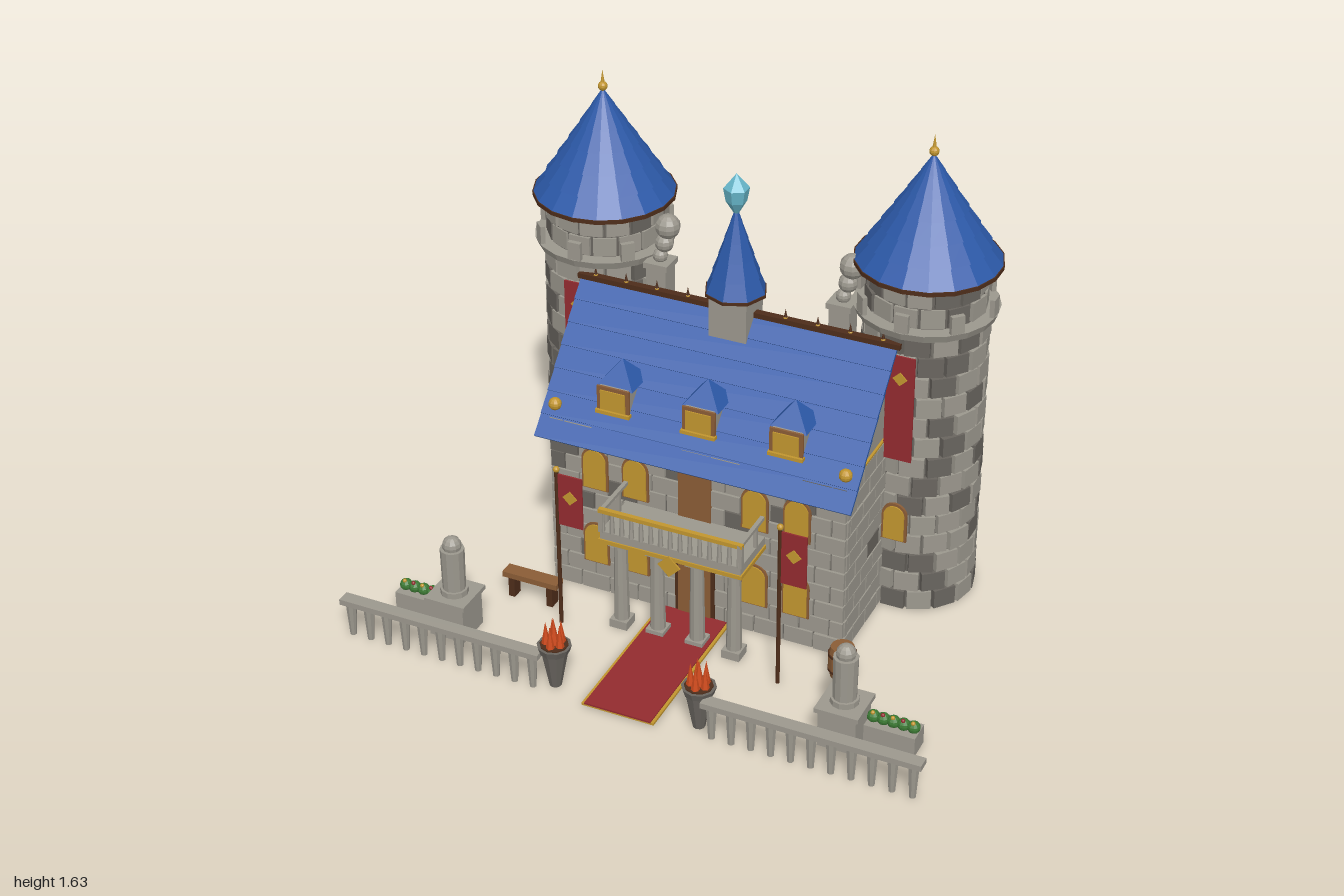
import * as THREE from 'three';
import { mergeGeometries } from 'three/addons/utils/BufferGeometryUtils.js';

const mat = (name, color) => new THREE.MeshStandardMaterial({ name, color, flatShading: true });

export function createModel() {
  const stone = mat('lightStone', 0x9c988e), dark = mat('darkStone', 0x69655f), blue = mat('roofBlue', 0x2c59a8),
    trim = mat('darkTrim', 0x4e2d1a), wood = mat('wood', 0x8a5c36), gold = mat('gold', 0xc2962f),
    red = mat('redCloth', 0x932b2f), ice = mat('crystal', 0x68b8cc), fire = mat('flame', 0xcf4a1c), green = mat('leaf', 0x3c7a34);
  const root = new THREE.Group();
  let seed = 7;
  const rnd = () => (seed = (seed * 16807) % 2147483647) / 2147483647;

  const group = (name, x = 0, y = 0, z = 0, parent = root) => {
    const g = new THREE.Group();
    g.name = name; g.position.set(x, y, z); parent.add(g);
    return g;
  };
  const put = (name, geo, m, x, y, z, parent = root) => {
    const o = new THREE.Mesh(geo, m);
    o.name = name; o.position.set(x, y, z); parent.add(o);
    return o;
  };
  // boxes and cylinders are placed by the centre of their base
  const box = (name, m, w, h, d, x, y, z, p) => put(name, new THREE.BoxGeometry(w, h, d), m, x, y + h / 2, z, p);
  const cyl = (name, m, rt, rb, h, x, y, z, p, n = 12) => put(name, new THREE.CylinderGeometry(rt, rb, h, n), m, x, y + h / 2, z, p);
  const ball = (name, m, r, x, y, z, p) => put(name, new THREE.SphereGeometry(r, 10, 8), m, x, y, z, p);
  const diamond = (m, s, x, y, z, p) => { box('diamond', m, s, s, 0.006, x, y - s / 2, z, p).rotation.z = Math.PI / 4; };
  const arch = (name, m, w, h, x, y, z, p) => {
    const s = new THREE.Shape(), r = w / 2;
    s.moveTo(-r, 0); s.lineTo(r, 0); s.lineTo(r, h - r); s.absarc(0, h - r, r, 0, Math.PI); s.closePath();
    return put(name, new THREE.ExtrudeGeometry(s, { depth: 0.009, bevelEnabled: false, curveSegments: 8 }), m, x, y, z, p);
  };
  // shingled cone of overlapping tiers
  const tieredCone = (name, r, h, tiers, sides, x, y, z, p) => {
    const g = group(name, x, y, z, p);
    for (let i = 0; i < tiers; i++) {
      const top = i === tiers - 1 ? 0 : r * (1 - (i + 1) / tiers) * 0.95;
      cyl('roofTier', blue, top, r * (1 - i / tiers), h / tiers, 0, i * h / tiers, 0, g, sides);
    }
  };
  // bricks gather by shade, then become two meshes
  const brickSet = () => {
    const light = [], shade = [];
    return {
      add(w, h, d, x, y, z, turn = 0, darkShare = 0.2) {
        const g = new THREE.BoxGeometry(w, h, d).rotateY(turn).translate(x, y, z);
        (rnd() < darkShare ? shade : light).push(g);
      },
      finish(p) {
        put('lightBricks', mergeGeometries(light), stone, 0, 0, 0, p);
        put('darkBricks', mergeGeometries(shade), dark, 0, 0, 0, p);
      }
    };
  };

  // hall walls
  const hall = group('hall', 0, 0, -0.22);
  box('wallCore', dark, 1.02, 0.64, 0.6, 0, 0, 0, hall);
  const walls = brickSet();
  for (let row = 0; row < 10; row++) {
    const y = 0.032 + row * 0.064, off = row % 2 ? 0.05 : 0;
    const course = (half, fn) => {
      for (let a = -half - off; a < half - 0.001; a += 0.104) {
        const lo = Math.max(a, -half), hi = Math.min(a + 0.104, half);
        if (hi - lo > 0.02) fn((lo + hi) / 2, hi - lo - 0.006);
      }
    };
    course(0.52, (c, w) => [-1, 1].forEach(s => walls.add(w, 0.058, 0.02, c, y, s * (0.298 + rnd() * 0.004), 0, 0.12)));
    course(0.3, (c, w) => [-1, 1].forEach(s => walls.add(0.02, 0.058, w, s * (0.508 + rnd() * 0.004), y, c, 0, 0.12)));
  }
  walls.finish(hall);
  const gable = new THREE.Shape([[-0.31, 0.635], [0.31, 0.635], [0, 0.985]].map(p => new THREE.Vector2(...p)));
  put('gable', new THREE.ExtrudeGeometry(gable, { depth: 1.02, bevelEnabled: false }).rotateY(Math.PI / 2), stone, -0.51, 0, 0, hall);
  [-1, 1].forEach(s => box('gableTrim', gold, 0.008, 0.008, 0.6, s * 0.515, 0.636, 0, hall));

  // main roof in overlapping rows, both slopes
  const roof = group('mainRoof', 0, 0.995, -0.225);
  const tilt = Math.atan2(0.41, 0.355), slope = Math.hypot(0.41, 0.355), rows = 7;
  [0, Math.PI].forEach(turn => {
    const side = group('roofSlope', 0, 0, 0, roof);
    side.rotation.y = turn;
    for (let i = 0; i < rows; i++) {
      const d = (i + 0.5) / rows;
      put('shingleRow', new THREE.BoxGeometry(1.1, 0.01, slope / rows + 0.012), blue, 0, -0.41 * d, 0.355 * d, side).rotation.x = tilt - 0.06;
    }
  });
  box('ridgeBeam', trim, 1.12, 0.018, 0.025, 0, -0.008, 0, roof);
  [-1, 1].forEach(s => {
    [0.17, 0.28, 0.39, 0.5].forEach(x => {
      cyl('ridgeSpike', trim, 0, 0.007, 0.035, s * x, 0.008, 0, roof, 6);
      ball('ridgeBead', gold, 0.007, s * x, 0.01, 0, roof);
    });
    ball('roofOrnament', gold, 0.022, s * 0.505, 0.68, 0.072);
  });

  // dormers
  [-0.3, 0, 0.3].forEach(x => {
    const g = group('dormer', x, 0.68, 0);
    box('dormerWalls', stone, 0.1, 0.1, 0.13, 0, 0, -0.007, g);
    box('windowFrame', wood, 0.114, 0.094, 0.008, 0, 0.008, 0.06, g);
    box('windowPane', gold, 0.088, 0.07, 0.008, 0, 0.02, 0.064, g);
    box('windowSill', gold, 0.12, 0.012, 0.02, 0, 0.006, 0.064, g);
    const cap = cyl('dormerRoof', blue, 0, 0.09, 0.08, 0, 0.095, -0.012, g, 4);
    cap.geometry.rotateY(Math.PI / 4);
  });

  // central spire with crystal
  const spire = group('spire', 0, 0, -0.22);
  box('spireBase', stone, 0.13, 0.2, 0.13, 0, 0.88, 0, spire);
  cyl('spireRim', trim, 0.104, 0.104, 0.01, 0, 1.064, 0, spire, 8);
  tieredCone('spireRoof', 0.102, 0.3, 5, 8, 0, 1.07, 0, spire);
  cyl('crystalTip', ice, 0, 0.042, 0.05, 0, 1.43, 0, spire, 6);
  cyl('crystalBody', ice, 0.042, 0.034, 0.045, 0, 1.385, 0, spire, 6);
  cyl('crystalRoot', ice, 0.034, 0, 0.055, 0, 1.33, 0, spire, 6);

  // round towers
  [-1, 1].forEach(s => {
    const t = group('tower', s * 0.565, 0, -0.43);
    cyl('towerCore', dark, 0.188, 0.188, 1.2, 0, 0, 0, t, 20);
    const bricks = brickSet();
    const ring = (y, h, r, n, turn) => {
      for (let i = 0; i < n; i++) {
        const a = (i + turn) / n * Math.PI * 2, q = r + rnd() * 0.005;
        bricks.add(2 * r * Math.tan(Math.PI / n) - 0.005, h - 0.007, 0.028, Math.sin(a) * q, y + h / 2, Math.cos(a) * q, a, 0.4);
      }
    };
    for (let i = 0; i < 14; i++) ring(i * 0.074, 0.074, 0.185, 14, i % 2 / 2);
    for (let i = 0; i < 2; i++) ring(1.06 + i * 0.07, 0.07, 0.176, 14, i % 2 / 2);
    bricks.finish(t);
    cyl('walkway', stone, 0.235, 0.225, 0.026, 0, 1.032, 0, t, 20);
    for (let i = 0; i < 8; i++) {
      const a = i * Math.PI / 4;
      box('merlon', stone, 0.045, 0.065, 0.016, Math.sin(a) * 0.223, 1.055, Math.cos(a) * 0.223, t).rotation.y = a;
    }
    cyl('eaveRim', trim, 0.238, 0.238, 0.014, 0, 1.2, 0, t, 18);
    tieredCone('towerRoof', 0.236, 0.36, 6, 18, 0, 1.212, 0, t);
    ball('finialBall', gold, 0.016, 0, 1.578, 0, t);
    cyl('finialSpike', gold, 0, 0.008, 0.05, 0, 1.585, 0, t, 8);
    arch('windowFrame', wood, 0.086, 0.14, 0, 0.275, 0.204, t);
    arch('towerWindow', gold, 0.07, 0.126, 0, 0.28, 0.209, t);
    box('towerBanner', red, 0.095, 0.38, 0.006, 0, 0.585, 0.212, t);
    diamond(gold, 0.034, 0, 0.885, 0.216, t);

    // chimney and smoke
    const c = group('chimney', s * 0.32, 0, -0.335);
    box('stack', stone, 0.07, 0.2, 0.07, 0, 0.83, 0, c);
    box('stackCap', stone, 0.085, 0.02, 0.085, 0, 1.03, 0, c);
    [[0.025, 0, 1.065], [0.032, 0.015, 1.115], [0.042, 0.028, 1.177]].forEach(([r, x, y]) => ball('smoke', stone, r, x, y, 0, c));
  });

  // front windows, doors and crest
  [-0.355, -0.21, 0.21, 0.355].forEach(x => [0.12, 0.41].forEach(y => {
    arch('windowFrame', wood, 0.094, 0.158, x, y - 0.005, 0.087);
    arch('hallWindow', gold, 0.08, 0.145, x, y, 0.091);
  }));
  box('upperDoor', wood, 0.115, 0.21, 0.012, 0, 0.38, 0.09);
  box('doorFrame', trim, 0.14, 0.25, 0.01, 0, 0.01, 0.09);
  box('mainDoor', wood, 0.115, 0.23, 0.012, 0, 0.01, 0.094);
  box('crestPanel', blue, 0.115, 0.08, 0.01, 0, 0.25, 0.095);

  // balcony
  const bal = group('balcony', 0, 0, 0.185);
  box('slab', stone, 0.49, 0.03, 0.19, 0, 0.358, 0, bal);
  box('slabTrim', gold, 0.5, 0.014, 0.2, 0, 0.345, 0, bal);
  box('frontRail', gold, 0.5, 0.014, 0.016, 0, 0.458, 0.09, bal);
  for (let i = 0; i < 15; i++) cyl('baluster', stone, 0.006, 0.009, 0.072, -0.238 + i * 0.034, 0.387, 0.09, bal, 6);
  [-1, 1].forEach(s => {
    box('sideRail', stone, 0.014, 0.012, 0.19, s * 0.24, 0.459, 0, bal);
    box('cornerPost', stone, 0.016, 0.085, 0.016, s * 0.242, 0.385, 0.09, bal);
    box('sidePost', stone, 0.012, 0.08, 0.012, s * 0.24, 0.385, -0.03, bal);
  });
  diamond(gold, 0.055, 0, 0.325, 0.1, bal);
  [-0.2, -0.07, 0.07, 0.2].forEach(x => {
    box('columnFoot', stone, 0.062, 0.03, 0.062, x, 0, 0.04, bal);
    cyl('column', stone, 0.022, 0.026, 0.29, x, 0.03, 0.04, bal, 10);
    box('capital', stone, 0.06, 0.028, 0.06, x, 0.318, 0.04, bal);
  });

  // carpet
  box('carpetBorder', gold, 0.25, 0.008, 0.57, 0, 0.004, 0.38);
  box('carpet', red, 0.23, 0.006, 0.57, 0, 0.01, 0.381);

  // flags, fences, torches, statues and planters on both sides
  [-1, 1].forEach(s => {
    const f = group('flag', s * 0.385, 0, 0.3);
    cyl('pole', trim, 0.007, 0.007, 0.59, 0, 0, 0, f, 8);
    ball('poleBall', gold, 0.011, 0, 0.595, 0, f);
    box('cloth', red, 0.085, 0.19, 0.006, 0.048, 0.39, 0, f);
    diamond(gold, 0.036, 0.048, 0.5, 0.003, f);
    diamond(gold, 0.036, 0.048, 0.5, -0.003, f);

    const fence = group('fence', s * 0.64, 0, 0.638);
    box('rail', stone, 0.72, 0.02, 0.045, 0, 0.12, 0, fence);
    for (let i = 0; i < 11; i++) cyl('baluster', stone, 0.018, 0.011, 0.12, -0.33 + i * 0.066, 0, 0, fence, 8);

    const t = group('torch', s * 0.25, 0, 0.6);
    cyl('stand', dark, 0.045, 0.02, 0.135, 0, 0, 0, t, 10);
    cyl('bowl', dark, 0.056, 0.048, 0.025, 0, 0.13, 0, t, 10);
    cyl('embers', trim, 0.046, 0.046, 0.006, 0, 0.153, 0, t, 10);
    for (let i = 0; i < 5; i++) {
      const a = i * Math.PI * 0.4;
      cyl('flame', fire, 0, 0.015, 0.085, Math.sin(a) * 0.026, 0.155, Math.cos(a) * 0.026, t, 6);
    }
    cyl('flame', fire, 0, 0.018, 0.1, 0, 0.155, 0, t, 6);

    const st = group('statue', s * 0.68, 0, 0.472);
    box('pedestal', stone, 0.125, 0.13, 0.125, 0, 0, 0, st);
    box('pedestalTop', stone, 0.145, 0.016, 0.145, 0, 0.13, 0, st);
    cyl('statueFoot', stone, 0.046, 0.046, 0.02, 0, 0.146, 0, st);
    cyl('statueBody', stone, 0.04, 0.038, 0.15, 0, 0.166, 0, st);
    ball('statueHead', stone, 0.032, 0, 0.328, 0, st);

    const pl = group('planter', s * 0.825, 0, 0.427);
    box('trough', stone, 0.17, 0.07, 0.08, 0, 0, 0, pl);
    for (let i = 0; i < 5; i++) {
      ball('bush', green, 0.021, -0.066 + i * 0.033, 0.082, 0, pl);
      ball('flower', i % 2 ? red : gold, 0.007, -0.066 + i * 0.033, 0.101, 0.008, pl);
    }
  });

  // bench
  box('benchSeat', wood, 0.2, 0.02, 0.05, -0.53, 0.075, 0.222);
  [-0.6, -0.46].forEach(x => box('benchLeg', trim, 0.022, 0.075, 0.04, x, 0, 0.222));

  // barrel
  const profile = [[0, 0], [0.038, 0], [0.046, 0.035], [0.046, 0.078], [0.038, 0.113], [0, 0.113]];
  const barrel = group('barrel', 0.555, 0, 0.178);
  put('staves', new THREE.LatheGeometry(profile.map(p => new THREE.Vector2(...p)), 14), wood, 0, 0, 0, barrel);
  [0.025, 0.082].forEach(y => cyl('hoop', trim, 0.047, 0.047, 0.008, 0, y, 0, barrel, 14));

  return root;
}
